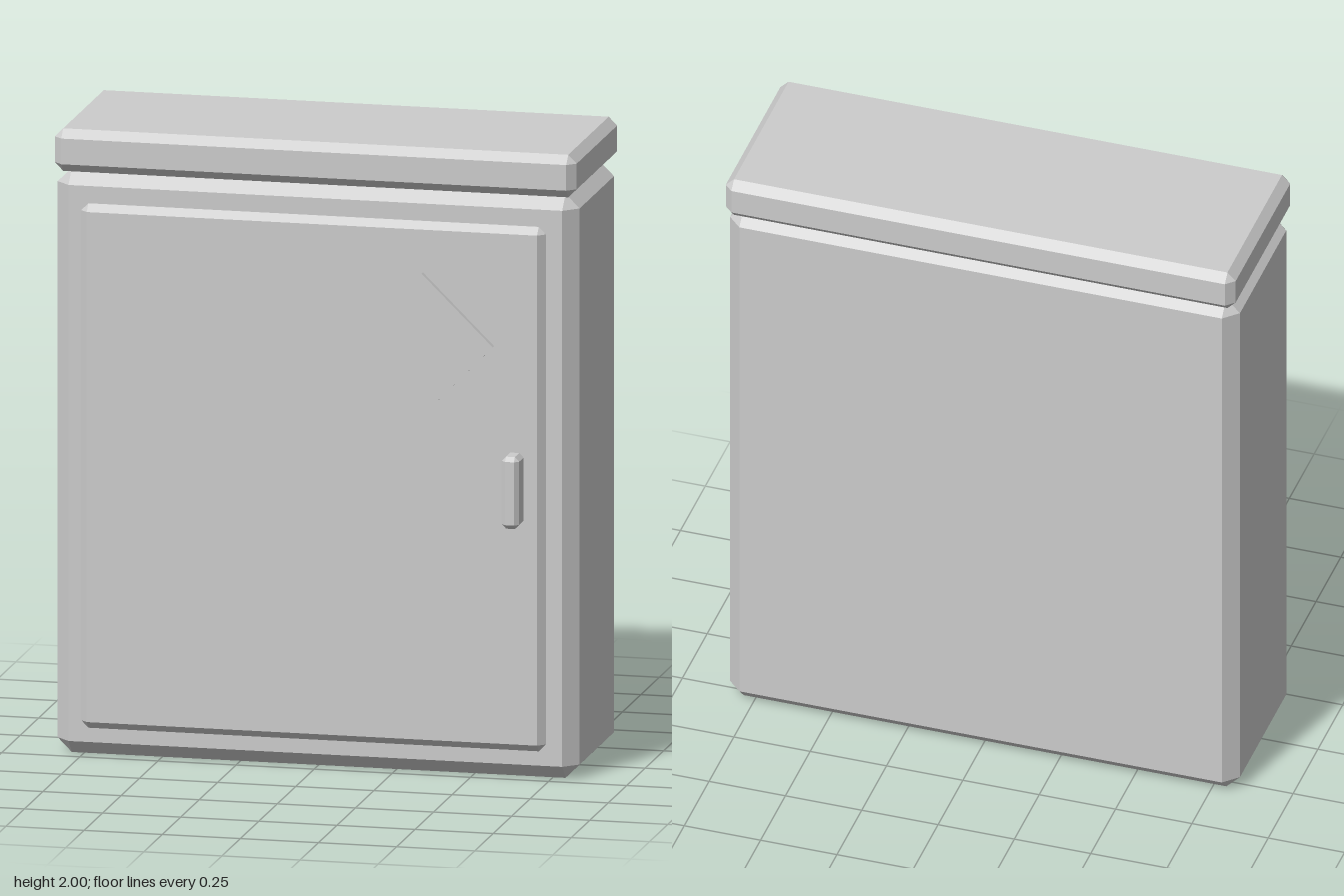
import * as THREE from 'three';
import { ConvexGeometry } from 'three/addons/geometries/ConvexGeometry.js';

const paint = new THREE.MeshStandardMaterial({ color: 0xcccccc });
paint.name = 'greyPaint';

// Box between two corners with every edge and corner chamfered by c
function chamferBox(name, min, max, c) {
  const half = min.map((v, i) => (max[i] - v) / 2);
  const points = [];
  for (const sx of [-1, 1]) for (const sy of [-1, 1]) for (const sz of [-1, 1]) {
    for (let axis = 0; axis < 3; axis++) {
      const p = half.map((h, i) => (i === axis ? h : h - c));
      points.push(new THREE.Vector3(sx * p[0], sy * p[1], sz * p[2]));
    }
  }
  const mesh = new THREE.Mesh(new ConvexGeometry(points), paint);
  mesh.name = name;
  mesh.position.set(...min.map((v, i) => (v + max[i]) / 2));
  return mesh;
}

export function createModel() {
  const group = new THREE.Group();
  group.name = 'electricalCabinet';

  // Cabinet shell and overhanging roof cap
  group.add(chamferBox('cabinetBody', [-0.835, 0, -0.322], [0.835, 1.866, 0.234], 0.045));
  group.add(chamferBox('roofCap', [-0.835, 1.864, -0.347], [0.835, 2, 0.256], 0.027));

  // Door with its handle on the model's left
  group.add(chamferBox('door', [-0.745, 0.095, 0.228], [0.742, 1.77, 0.275], 0.023));
  group.add(chamferBox('doorHandle', [0.62, 0.82, 0.26], [0.676, 1.05, 0.348], 0.014));

  // Tilted sign plate
  const sign = new THREE.Mesh(new THREE.BoxGeometry(0.319, 0.277, 0.03), paint);
  sign.name = 'signPlate';
  sign.position.set(0.371, 1.4, 0.279);
  sign.rotation.z = THREE.MathUtils.degToRad(-44.5);
  group.add(sign);

  return group;
}
